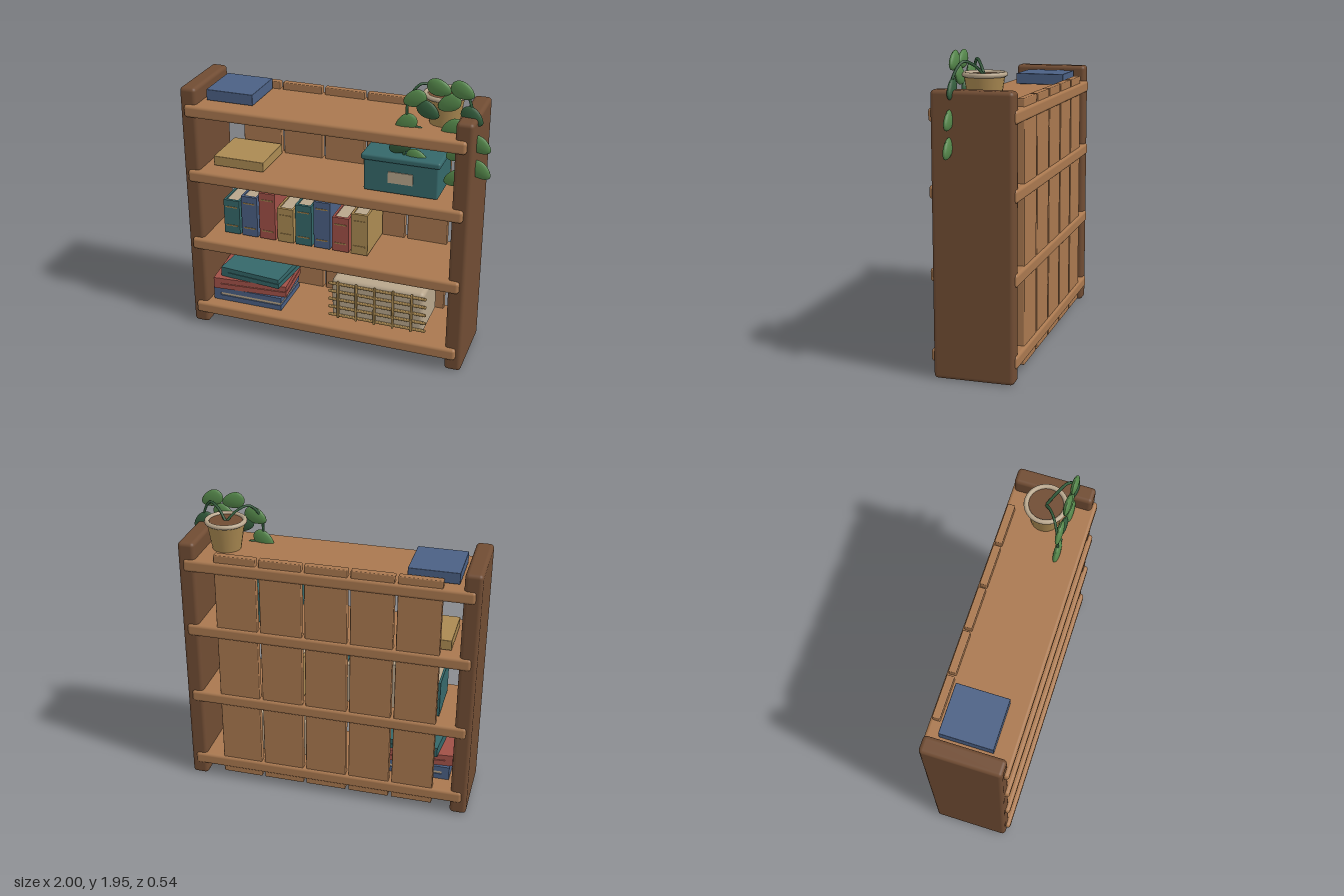
import * as THREE from 'three';
import { RoundedBoxGeometry } from 'three/addons/geometries/RoundedBoxGeometry.js';

const paint = (name, color) => {
  const m = new THREE.MeshStandardMaterial({ color });
  m.name = name;
  return m;
};

export function createModel() {
  const model = new THREE.Group();
  model.name = 'bookshelf';

  const wood = paint('warm wood', 0xa9784f);
  const darkWood = paint('dark wood', 0x704c33);
  const blue = paint('blue', 0x4b6084);
  const red = paint('red', 0xa05047);
  const gold = paint('gold', 0xab8a52);
  const teal = paint('teal', 0x35686a);
  const cream = paint('cream', 0xb8a68c);
  const leafGreen = paint('leaf green', 0x54864a);
  const deepGreen = paint('deep green', 0x335c3c);

  const add = (parent, name, geometry, material, x = 0, y = 0, z = 0) => {
    const mesh = new THREE.Mesh(geometry, material);
    mesh.name = name;
    mesh.position.set(x, y, z);
    parent.add(mesh);
    return mesh;
  };
  const group = (name, x = 0, y = 0, z = 0) => {
    const g = new THREE.Group();
    g.name = name;
    g.position.set(x, y, z);
    model.add(g);
    return g;
  };
  // Box given by its limits; r rounds the edges
  const block = (parent, name, material, [x0, x1], [y0, y1], [z0, z1], r = 0) => {
    const size = [x1 - x0, y1 - y0, z1 - z0];
    const geometry = r ? new RoundedBoxGeometry(...size, 3, r) : new THREE.BoxGeometry(...size);
    return add(parent, name, geometry, material, (x0 + x1) / 2, (y0 + y1) / 2, (z0 + z1) / 2);
  };

  // Frame: side panels, shelves and back slats
  block(model, 'rightSidePanel', darkWood, [-1, -0.89], [0, 1.735], [-0.257, 0.243], 0.025);
  block(model, 'leftSidePanel', darkWood, [0.8, 0.91], [0, 1.735], [-0.257, 0.243], 0.025);
  for (const y of [0.09, 0.59, 1.09, 1.545]) {
    block(model, 'shelf', wood, [-0.965, 0.875], [y, y + 0.082], [-0.27, 0.27], 0.02);
  }
  for (let i = 0; i < 5; i++) {
    const x = -0.767 + i * 0.2925;
    block(model, 'backSlat', wood, [x, x + 0.272], [0.05, 1.675], [-0.256, -0.208], 0.006);
  }

  // Upright books with pages set in behind the spine
  const rowColours = [teal, blue, red, gold];
  const tops = [0.935, 0.98, 1.025, 0.935, 0.98, 1.025, 0.935, 0.98];
  const bottom = 0.69, front = 0.145, back = -0.185;
  tops.forEach((top, i) => {
    const book = group('uprightBook');
    const colour = rowColours[i % 4];
    const x0 = -0.777 + i * 0.1285, x1 = x0 + 0.113;
    block(book, 'spine', colour, [x0, x1], [bottom, top], [front - 0.02, front]);
    block(book, 'cover', colour, [x0, x0 + 0.014], [bottom, top], [back, front - 0.02]);
    block(book, 'cover', colour, [x1 - 0.014, x1], [bottom, top], [back, front - 0.02]);
    block(book, 'pages', cream, [x0 + 0.014, x1 - 0.014], [bottom + 0.01, top - 0.008], [back + 0.01, front - 0.02]);
    for (const y of [bottom + 0.058, top - 0.05]) {
      block(book, 'spineBand', gold, [x0 + 0.016, x1 - 0.016], [y - 0.004, y + 0.004], [front, front + 0.004]);
    }
  });

  // Flat books: two covers, a spine on the -x edge and recessed pages
  const flatBook = (colour, x, y, z, w, h, d, gap, turn = 0) => {
    const book = group('flatBook', x, y, z);
    book.rotation.y = turn;
    const X = [-w / 2, w / 2], Z = [-d / 2, d / 2], c = (h - gap) / 2;
    block(book, 'lowerCover', colour, X, [0, c], Z);
    block(book, 'upperCover', colour, X, [h - c, h], Z);
    block(book, 'spine', colour, [-w / 2, -w / 2 + 0.05], [c, h - c], Z);
    block(book, 'pages', cream, [-w / 2 + 0.05, w / 2 - 0.008], [c, h - c], [-d / 2 + 0.008, d / 2 - 0.008]);
  };
  flatBook(blue, -0.61, 0.178, 0.025, 0.5, 0.095, 0.34, 0.022);
  flatBook(red, -0.603, 0.276, 0.025, 0.52, 0.08, 0.34, 0.006, 0.08);
  flatBook(teal, -0.572, 0.358, 0.025, 0.44, 0.068, 0.34, 0.003, -0.09);
  block(model, 'yellowFlatBook', gold, [-0.83, -0.48], [1.178, 1.245], [-0.185, 0.147], 0.004);
  block(model, 'blueFlatBook', blue, [-0.857, -0.537], [1.632, 1.705], [-0.185, 0.147], 0.004);

  // Lidded storage box with a label
  const storage = group('storageBox');
  block(storage, 'boxBody', teal, [0.215, 0.695], [1.183, 1.4], [-0.15, 0.18], 0.012);
  block(storage, 'boxLid', teal, [0.2, 0.708], [1.393, 1.435], [-0.165, 0.195], 0.015);
  block(storage, 'boxLabel', cream, [0.375, 0.535], [1.257, 1.332], [0.179, 0.186]);

  // Basket with a lattice of rods across the front
  const basket = group('basket');
  block(basket, 'basketBody', cream, [0, 0.635], [0.195, 0.495], [-0.16, 0.18], 0.03);
  for (const y of [0.225, 0.285, 0.345, 0.405, 0.465]) {
    block(basket, 'horizontalRod', gold, [-0.018, 0.655], [y - 0.009, y + 0.009], [0.179, 0.197], 0.006);
  }
  for (let i = 0; i < 5; i++) {
    const x = 0.05 + i * 0.1265;
    block(basket, 'verticalRod', gold, [x - 0.008, x + 0.008], [0.205, 0.487], [0.183, 0.201], 0.006);
  }

  // Flower pot
  const plant = group('pottedPlant');
  const px = 0.67, pz = -0.012;
  add(plant, 'pot', new THREE.CylinderGeometry(0.122, 0.092, 0.18, 24), gold, px, 1.717, pz);
  add(plant, 'soil', new THREE.CylinderGeometry(0.115, 0.115, 0.01, 24), darkWood, px, 1.805, pz);
  add(plant, 'potRim', new THREE.TorusGeometry(0.121, 0.015, 10, 32), cream, px, 1.81, pz).rotation.x = Math.PI / 2;

  // Trailing stems, one to each side
  for (const s of [-1, 1]) {
    const path = new THREE.CatmullRomCurve3([
      [0, 1.8, 0], [0.06, 1.865, 0.045], [0.13, 1.888, 0.09], [0.195, 1.79, 0.132],
      [0.195, 1.6, 0.136], [0.215, 1.42, 0.136],
    ].map(([x, y, z]) => new THREE.Vector3(px + s * x, y, pz + z)));
    add(plant, 'stem', new THREE.TubeGeometry(path, 40, 0.009, 6), deepGreen);
  }

  // Leaf: a flattened ball narrowing to a tip at +x
  const leafGeometry = new THREE.SphereGeometry(1, 18, 12);
  const p = leafGeometry.attributes.position;
  for (let i = 0; i < p.count; i++) {
    const x = p.getX(i);
    p.setXYZ(i, x * 0.077, p.getY(i) * 0.052 * (1 - 0.22 * x), p.getZ(i) * 0.021);
  }
  leafGeometry.computeVertexNormals();
  // x, y, tilt in degrees, deep colour
  const leaves = [
    [0.515, 1.805, 205, 0], [0.663, 1.893, -15, 0], [0.807, 1.893, -25, 0],
    [0.727, 1.803, 210, 0], [0.6, 1.743, -30, 1], [0.465, 1.645, 215, 0],
    [0.43, 1.49, 210, 1], [0.56, 1.572, -30, 1], [0.545, 1.42, -25, 0],
    [0.87, 1.735, -35, 1], [0.925, 1.562, -30, 0], [0.755, 1.65, 210, 0],
    [0.79, 1.49, 210, 0], [0.785, 1.322, 205, 0], [0.935, 1.4, -35, 0],
  ];
  leaves.forEach(([x, y, tilt, deep], i) => {
    const leaf = add(plant, 'leaf', leafGeometry, deep ? deepGreen : leafGreen, x, y, 0.12 + (i % 3) * 0.003);
    leaf.rotation.z = THREE.MathUtils.degToRad(tilt);
  });

  return model;
}
